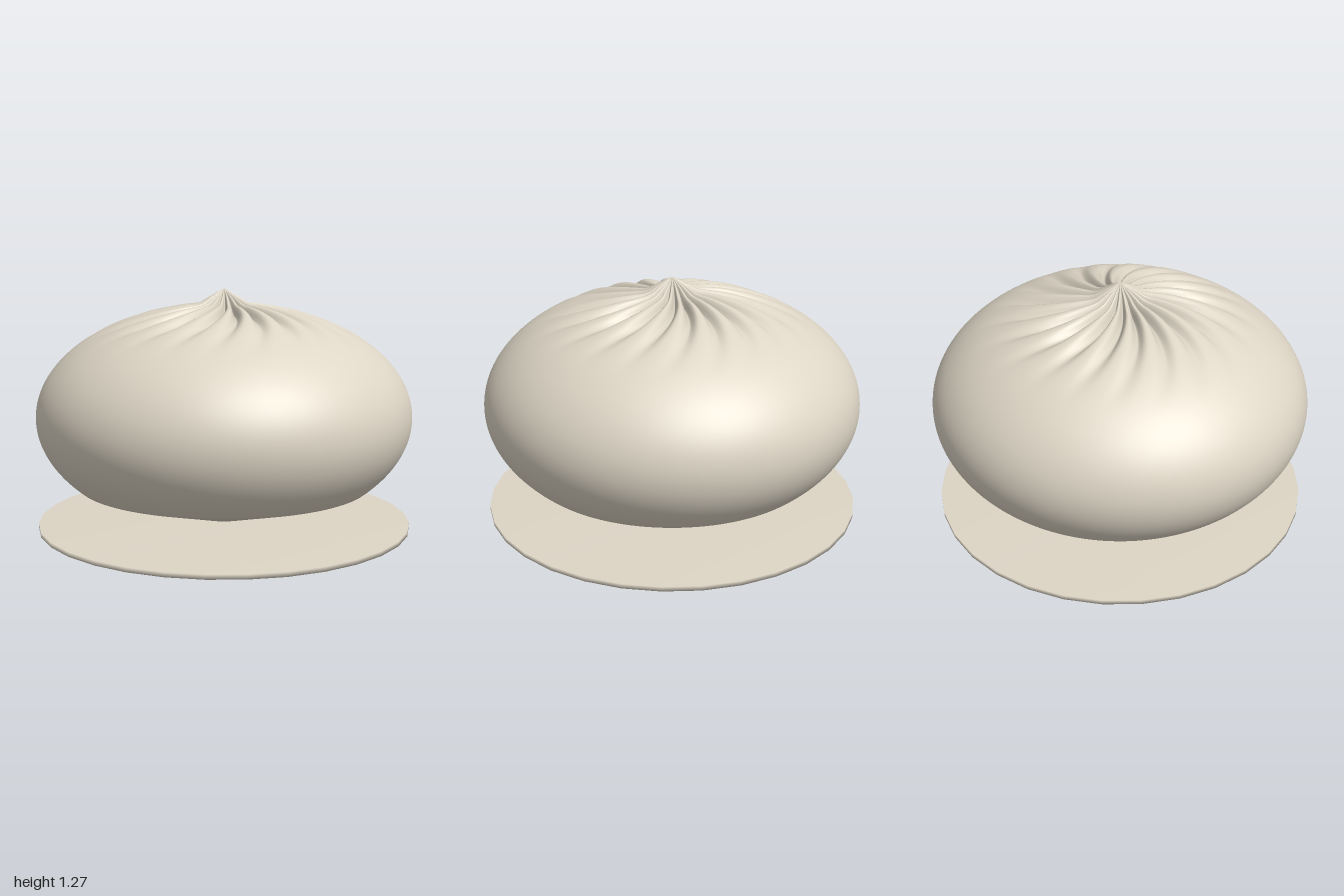
import * as THREE from 'three';
import { mergeVertices } from 'three/addons/utils/BufferGeometryUtils.js';

const PLEATS = 20;
const STEPS = 10; // mesh columns per pleat

// Bun: squashed sphere, tapered base and pinched tip, twisted into pleats
function bunGeometry() {
  const pts = [new THREE.Vector2(0.03, 0.009)];
  const rows = 70;
  const start = -0.66; // latitude where the tapered base begins
  for (let i = 0; i <= rows; i++) {
    const a = start + (Math.PI / 2 - start) * (i / rows);
    const r = i === rows ? 0 : Math.cos(a);
    const tip = 0.075 * Math.max(0, 1 - r / 0.14);
    pts.push(new THREE.Vector2(r, 0.6 + 0.6 * Math.sin(a) + tip));
  }
  const geo = new THREE.LatheGeometry(pts, PLEATS * STEPS);
  const pos = geo.attributes.position;
  for (let i = 0; i < pos.count; i++) {
    const x = pos.getX(i), y = pos.getY(i), z = pos.getZ(i);
    const r = Math.hypot(x, z);
    if (y < 0.6 || r < 1e-5) continue;
    // Pleat depth fades out at the tip and down the shoulder
    const fade = THREE.MathUtils.smoothstep(r, 0, 0.16) * (1 - THREE.MathUtils.smoothstep(r, 0.2, 0.78));
    const theta = Math.atan2(z, x);
    const groove = Math.pow(0.5 + 0.5 * Math.cos(theta * PLEATS), 2);
    // Swirl grows outwards, and stops before the widest part
    const swirl = theta + 0.75 * (Math.min(r, 0.8) - 0.8);
    pos.setXYZ(i, r * Math.cos(swirl), y - 0.055 * fade * groove, r * Math.sin(swirl));
  }
  geo.deleteAttribute('uv');
  geo.deleteAttribute('normal');
  const merged = mergeVertices(geo, 1e-5);
  merged.computeVertexNormals();
  return merged;
}

export function createModel() {
  const group = new THREE.Group();
  const dough = new THREE.MeshStandardMaterial({ color: 0xddd5c5 });
  dough.name = 'dough cream';

  const bun = new THREE.Mesh(bunGeometry(), dough);
  bun.name = 'pleatedBun';
  group.add(bun);

  // Thin round paper under the bun, with a softly shaded rim
  const profile = [[0, 0], [1, 0], [1, 0.025], [0, 0.025]].map(([r, y]) => new THREE.Vector2(r, y));
  const paper = new THREE.Mesh(new THREE.LatheGeometry(profile, 32), dough);
  paper.name = 'basePaper';
  group.add(paper);

  return group;
}
